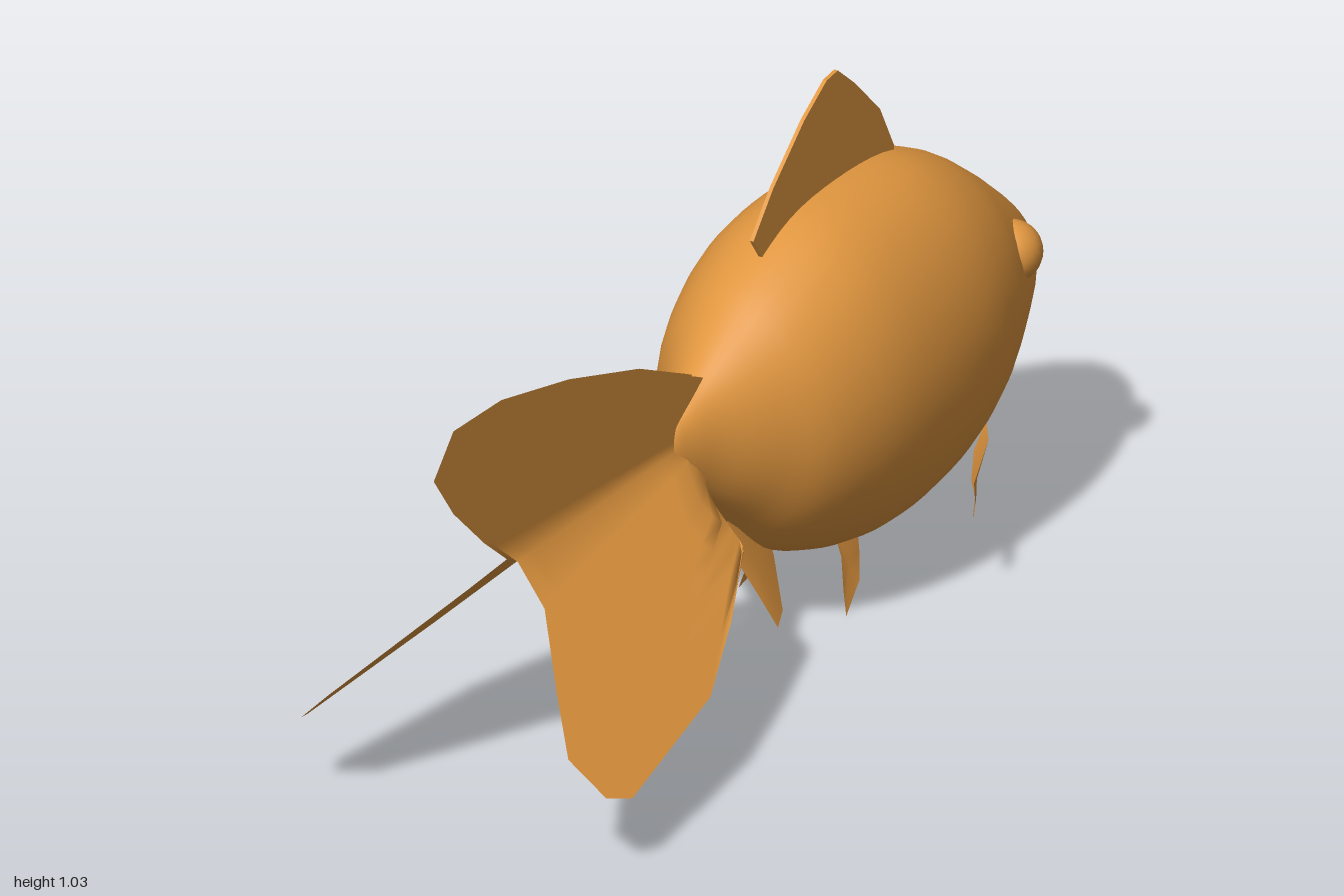
import * as THREE from 'three';

const orange = new THREE.MeshStandardMaterial({ color: 0xe0963f, side: THREE.DoubleSide });
orange.name = 'orange';

function part(name, geometry) {
  const mesh = new THREE.Mesh(geometry, orange);
  mesh.name = name;
  return mesh;
}

function surface(positions, index) {
  const g = new THREE.BufferGeometry();
  g.setAttribute('position', new THREE.Float32BufferAttribute(positions, 3));
  g.setIndex(index);
  g.computeVertexNormals();
  return g;
}

// Body: elliptical rings along z, each station is [z, top, bottom, half width]
function bodyGeometry() {
  const stations = [
    [-1.0, 0.475, 0.475, 0], [-0.997, 0.51, 0.435, 0.045], [-0.975, 0.54, 0.395, 0.078],
    [-0.9, 0.605, 0.32, 0.137], [-0.8, 0.685, 0.23, 0.183], [-0.7, 0.75, 0.158, 0.22],
    [-0.57, 0.797, 0.11, 0.247], [-0.4, 0.81, 0.093, 0.256], [-0.24, 0.795, 0.12, 0.243],
    [-0.1, 0.735, 0.18, 0.2], [0, 0.665, 0.27, 0.135], [0.09, 0.597, 0.35, 0.072],
    [0.15, 0.56, 0.415, 0.04], [0.18, 0.54, 0.465, 0.02], [0.19, 0.505, 0.505, 0]];
  const spline = (f) => new THREE.CatmullRomCurve3(stations.map(f), false, 'catmullrom');
  const heights = spline(([z, t, b]) => new THREE.Vector3(z, t, b));
  const widths = spline(([z, , , w]) => new THREE.Vector3(z, w, 0));
  const rings = 56, sides = 40, pos = [], idx = [];
  for (let i = 0; i <= rings; i++) {
    const h = heights.getPoint(i / rings), w = Math.max(0, widths.getPoint(i / rings).y);
    for (let j = 0; j < sides; j++) {
      const a = (j / sides) * Math.PI * 2;
      pos.push(w * Math.cos(a), (h.y + h.z) / 2 + ((h.y - h.z) / 2) * Math.sin(a), h.x);
      if (i === rings) continue;
      const p = i * sides + j, q = i * sides + ((j + 1) % sides);
      idx.push(p, q, p + sides, q, q + sides, p + sides);
    }
  }
  return surface(pos, idx);
}

// Tail blade: rows fan out from the root to the outline; upright above the fold, flared below it
function tailGeometry(side) {
  const fold = 0.49, steps = 12, pos = [], idx = [];
  const upper = [[0.1, 0.61], [0.27, 0.69], [0.52, 0.77], [0.76, 0.825], [0.93, 0.83],
    [1.0, 0.755], [0.93, 0.66], [0.82, 0.555], [0.74, fold]];
  const lower = [[0.76, 0.42], [0.88, 0.32], [0.97, 0.24], [0.95, 0.17], [0.89, 0.15],
    [0.53, 0.2], [0.35, 0.265], [0.2, 0.33], [0.1, 0.36]];
  const rows = [...upper, ...lower];
  rows.forEach(([ez, ey], r) => {
    const k = r < upper.length ? r / (upper.length - 1) : (r - upper.length + 1) / lower.length;
    const rootY = r < upper.length ? 0.59 + (fold - 0.59) * k : fold + (0.37 - fold) * k;
    for (let s = 0; s <= steps; s++) {
      const t = s / steps, z = 0.06 + (ez - 0.06) * t, y = rootY + (ey - rootY) * t;
      const flare = THREE.MathUtils.smoothstep(z, 0.07, 0.2);
      pos.push(side * (0.012 + flare * Math.max(0, fold - y)), y, z);
      if (s === steps || r === rows.length - 1) continue;
      const p = r * (steps + 1) + s, q = p + steps + 1;
      idx.push(p, q, p + 1, p + 1, q, q + 1);
    }
  });
  return surface(pos, idx);
}

// Small paired fin: a triangle fan around its middle
function finGeometry(points, side) {
  const n = points.length;
  const mid = [0, 1, 2].map((k) => points.reduce((sum, p) => sum + p[k], 0) / n);
  const pos = [mid, ...points].flatMap(([x, y, z]) => [side * x, y, z]);
  const idx = points.flatMap((_, i) => [0, i + 1, ((i + 1) % n) + 1]);
  return surface(pos, idx);
}

// Dorsal fin: thin upright plate, drawn as (-z, y)
function dorsalGeometry() {
  const outline = [[0.14, 0.7], [0.145, 0.75], [0.11, 0.8], [0.18, 0.88], [0.29, 0.975],
    [0.37, 1.025], [0.41, 1.03], [0.47, 0.98], [0.56, 0.89], [0.61, 0.795], [0.6, 0.72]];
  const shape = new THREE.Shape(outline.map(([z, y]) => new THREE.Vector2(z, y)));
  const g = new THREE.ExtrudeGeometry(shape, { depth: 0.008, bevelEnabled: false });
  return g.translate(0, 0, -0.004).rotateY(Math.PI / 2);
}

const pairedFins = {
  PectoralFin: [[0.18, 0.26, -0.65], [0.215, 0.245, -0.6], [0.245, 0.205, -0.5],
    [0.275, 0.188, -0.455], [0.275, 0.165, -0.45], [0.255, 0.148, -0.48],
    [0.225, 0.15, -0.54], [0.19, 0.165, -0.58], [0.165, 0.2, -0.63]],
  PelvicFin: [[0.06, 0.15, -0.3], [0.085, 0.1, -0.29], [0.105, 0.045, -0.265],
    [0.117, 0, -0.255], [0.1, 0.04, -0.33], [0.075, 0.08, -0.37], [0.055, 0.15, -0.39]],
  AnalFin: [[0.015, 0.3, 0.0], [0.025, 0.235, 0.02], [0.065, 0.14, -0.015],
    [0.1, 0.06, -0.04], [0.08, 0.07, -0.09], [0.03, 0.15, -0.14], [0.012, 0.24, -0.12]],
};

export function createModel() {
  const fish = new THREE.Group();
  fish.name = 'fish';
  fish.add(part('body', bodyGeometry()), part('dorsalFin', dorsalGeometry()));

  // Upper lip
  const lip = part('lip', new THREE.TorusGeometry(0.026, 0.005, 8, 20, Math.PI));
  lip.scale.y = 0.4;
  lip.position.set(0, 0.463, -0.994);
  fish.add(lip);

  // The model faces -z, so its own left is on -x
  for (const side of [-1, 1]) {
    const prefix = side < 0 ? 'left' : 'right';
    const eye = part(prefix + 'Eye', new THREE.SphereGeometry(0.06, 24, 16));
    eye.position.set(side * 0.142, 0.535, -0.8);
    fish.add(eye, part(prefix + 'TailFin', tailGeometry(side)));
    for (const [name, points] of Object.entries(pairedFins)) {
      fish.add(part(prefix + name, finGeometry(points, side)));
    }
  }
  return fish;
}
